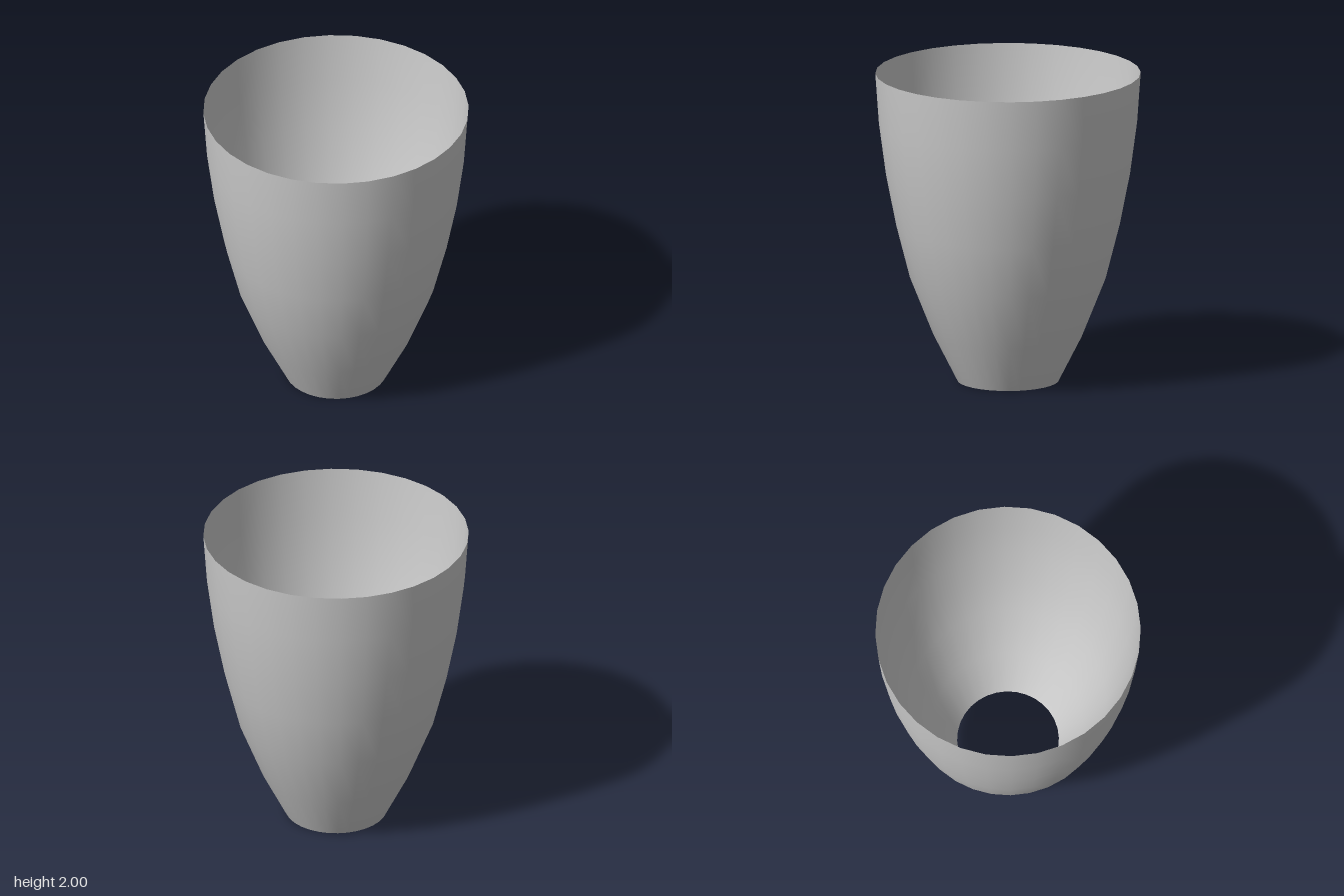
import * as THREE from 'three';

export function createModel() {
  const group = new THREE.Group();
  group.name = 'openCup';

  // Thin flared wall, open at the top and the bottom
  const profile = [
    [0.323, 0], [0.475, 0.3], [0.623, 0.67], [0.71, 1.01],
    [0.775, 1.34], [0.82, 1.675], [0.843, 2],
  ].map(([r, y]) => new THREE.Vector2(r, y));

  const wall = new THREE.Mesh(
    new THREE.LatheGeometry(profile, 32),
    new THREE.MeshStandardMaterial({ color: 0xcccccc, side: THREE.DoubleSide })
  );
  wall.name = 'cupWall';
  group.add(wall);
  return group;
}
